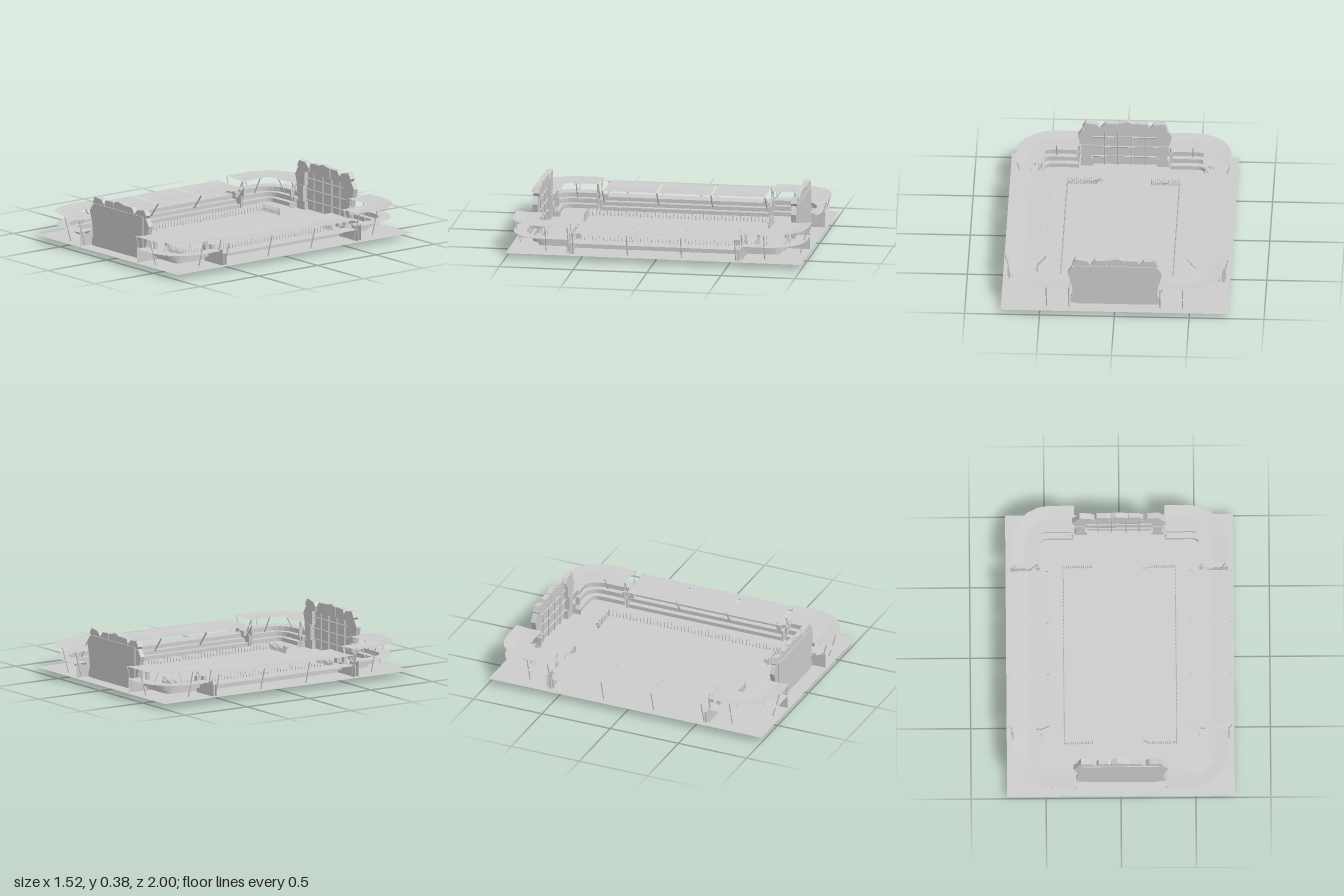
import * as THREE from 'three';

const GROUND = 0.035;
const mat = new THREE.MeshStandardMaterial({ color: 0xcccccc, flatShading: true });
const thin = new THREE.MeshStandardMaterial({ color: 0xcccccc, flatShading: true, side: THREE.DoubleSide });

function add(parent, name, geo, material = mat) {
  const m = new THREE.Mesh(geo, material);
  m.name = name;
  parent.add(m);
  return m;
}

function box(parent, name, w, h, d, x, y, z) {
  const m = add(parent, name, new THREE.BoxGeometry(w, h, d));
  m.position.set(x, y, z);
  return m;
}

// Straight round bar between two points
function bar(parent, name, a, b, r = 0.004) {
  const p = new THREE.Vector3(...a), q = new THREE.Vector3(...b);
  const m = add(parent, name, new THREE.CylinderGeometry(r, r, p.distanceTo(q), 6));
  m.position.copy(p).add(q).multiplyScalar(0.5);
  m.quaternion.setFromUnitVectors(new THREE.Vector3(0, 1, 0), q.sub(p).normalize());
  return m;
}

// Sweep a profile of [inset, height] along a plan path; path[i](inset) gives [x, z]
function sweep(path, profile) {
  const pos = [];
  const pt = (i, j) => {
    const [x, z] = path[i](profile[j][0]);
    return [x, profile[j][1], z];
  };
  for (let i = 0; i < path.length - 1; i++) {
    for (let j = 0; j < profile.length - 1; j++) {
      const a = pt(i, j), b = pt(i + 1, j), c = pt(i + 1, j + 1), d = pt(i, j + 1);
      pos.push(...a, ...b, ...c, ...a, ...c, ...d);
    }
  }
  const g = new THREE.BufferGeometry();
  g.setAttribute('position', new THREE.Float32BufferAttribute(pos, 3));
  g.computeVertexNormals();
  return g;
}

const polygon = pts => new THREE.Shape(pts.map(p => new THREE.Vector2(p[0], p[1])));

// Curved grandstand for the +x +z corner
function cornerStand() {
  const g = new THREE.Group();
  const path = [d => [0.305, 1 - d], d => [0.455, 1 - d]];
  for (let i = 0; i <= 5; i++) {
    const a = (i / 5) * Math.PI / 2;
    path.push(d => {
      const r = 0.25 - 1.14 * d;
      return [0.715 - d - r + r * Math.sin(a), 1 - d - r + r * Math.cos(a)];
    });
  }
  path.push(d => [0.715 - d, 0.74], d => [0.715 - d, 0.59]);

  add(g, 'cornerSteps', sweep(path, [[0.01, 0.13], [0.1, 0.13], [0.1, 0.1], [0.14, 0.1],
    [0.14, 0.07], [0.18, 0.07], [0.18, 0.043]]), thin);
  add(g, 'cornerCanopy', sweep(path, [[0, 0.218], [0.09, 0.211], [0.185, 0.213]]), thin);

  // End walls
  const cap = new THREE.ShapeGeometry(polygon([[0, GROUND], [0, 0.145], [-0.06, 0.115], [-0.1, 0.13],
    [-0.1, 0.1], [-0.14, 0.1], [-0.14, 0.07], [-0.18, 0.07], [-0.18, GROUND]]));
  add(g, 'endWall', cap, thin).position.set(0.725, 0, 0.592);
  const side = add(g, 'endWall', cap, thin);
  side.rotation.y = -Math.PI / 2;
  side.position.set(0.307, 0, 0.985);

  // Leaning canopy posts at each bay
  for (const i of [0, 1, 8, 9]) {
    const at = (d, y) => { const [x, z] = path[i](d); return [x, y, z]; };
    bar(g, 'outerPost', at(0.055, 0.04), at(0.005, 0.215));
    bar(g, 'innerPost', at(0.115, 0.1), at(0.175, 0.211));
  }
  bar(g, 'endPost', [0.31, GROUND, 0.83], [0.31, 0.212, 0.83]);
  bar(g, 'endPost', [0.545, GROUND, 0.595], [0.545, 0.212, 0.595]);

  // Small shields hung on the end posts
  box(g, 'shield', 0.014, 0.055, 0.03, 0.31, 0.135, 0.83);
  box(g, 'shield', 0.03, 0.05, 0.014, 0.545, 0.12, 0.595);
  box(g, 'shield', 0.03, 0.035, 0.03, 0.55, 0.125, 0.54);

  // Wall closing the gap to the long stand
  box(g, 'gapWall', 0.19, 0.075, 0.012, 0.62, 0.0725, 0.57);
  return g;
}

// Long straight grandstand on the +x side
function sideStand() {
  const g = new THREE.Group();
  const zs = [0.55, 0.183, -0.183, -0.55];
  const path = [0.56, -0.56].map(z => d => [0.75 - d, z]);
  add(g, 'sideSteps', sweep(path, [[0.03, 0.11], [0.14, 0.11], [0.14, 0.085], [0.18, 0.085],
    [0.18, 0.06], [0.22, 0.06], [0.22, GROUND]]), thin);
  const cap = new THREE.ShapeGeometry(polygon([[0.73, GROUND], [0.73, 0.11], [0.61, 0.11], [0.61, 0.085],
    [0.57, 0.085], [0.57, 0.06], [0.53, 0.06], [0.53, GROUND]]));
  for (const s of [-1, 1]) add(g, 'endWall', cap, thin).position.z = s * 0.56;

  // Three cloth panels between the posts
  for (let i = 0; i < 3; i++) {
    const bay = [zs[i] - 0.006, zs[i + 1] + 0.006].map(z => d => [0.75 - d, z]);
    add(g, 'sideCanopy', sweep(bay, [[0.003, 0.187], [0.14, 0.181], [0.285, 0.184]]), thin);
  }
  for (const z of zs) {
    bar(g, 'outerPost', [0.7, GROUND, z], [0.745, 0.186, z]);
    bar(g, 'innerPost', [0.55, 0.085, z], [0.472, 0.184, z], 0.005);
  }
  return g;
}

// Screen wall framed by rough stones, at +z
function gate() {
  const g = new THREE.Group();
  box(g, 'gatePanel', 0.51, 0.305, 0.01, 0, 0.1725, 0.893);

  const stone = (pts, depth = 0.036) => {
    const geo = new THREE.ExtrudeGeometry(polygon(pts), { depth, bevelEnabled: false });
    add(g, 'frameStone', geo).position.z = 0.892 - depth;
  };
  // Stacked stones at both sides, each [bottom, top, outer bottom, outer middle, outer top]
  const stack = [[0.025, 0.095, 0.298, 0.295, 0.285], [0.095, 0.2, 0.28, 0.288, 0.295],
    [0.2, 0.315, 0.295, 0.315, 0.285]];
  for (const s of [-1, 1]) {
    stack.forEach(([y0, y1, a, b, c], i) => {
      const inner = 0.215 + 0.012 * (i % 2);
      const pts = [[s * inner, y0], [s * a, y0], [s * b, (y0 + y1) / 2 + 0.01], [s * c, y1], [s * inner, y1]];
      stone(pts, 0.034 + 0.004 * (i % 2));
    });
  }
  // Stones along the top
  stone([[-0.285, 0.33], [-0.25, 0.295], [-0.165, 0.3], [-0.165, 0.33], [-0.195, 0.362], [-0.265, 0.37]], 0.04);
  stone([[-0.16, 0.295], [-0.065, 0.3], [-0.062, 0.362], [-0.085, 0.368], [-0.15, 0.365], [-0.163, 0.335]], 0.034);
  stone([[-0.062, 0.3], [0.055, 0.295], [0.058, 0.365], [-0.022, 0.38], [-0.06, 0.365]]);
  stone([[0.06, 0.295], [0.155, 0.3], [0.16, 0.33], [0.13, 0.366], [0.062, 0.365]], 0.033);
  stone([[0.165, 0.3], [0.25, 0.295], [0.285, 0.335], [0.262, 0.372], [0.19, 0.36], [0.163, 0.33]], 0.04);

  // Timber grid on the arena side
  for (const x of [-0.14, -0.048, 0.048, 0.135]) bar(g, 'gridUpright', [x, 0, 0.88], [x, 0.31, 0.88], 0.005);
  for (const y of [0.1, 0.175, 0.25]) bar(g, 'gridRail', [-0.24, y, 0.88], [0.24, y, 0.88], 0.005);
  return g;
}

// Stakes round the inner field
function fence() {
  const g = new THREE.Group();
  const geo = new THREE.ConeGeometry(0.005, 0.055, 5);
  const spots = [];
  for (const s of [-1, 1]) {
    for (let i = 0; i <= 50; i++) spots.push([s * 0.375, -0.625 + i * 0.025]);
    for (let i = 1; i <= 15; i++) for (const e of [-1, 1]) spots.push([s * (0.375 - i * 0.0125), e * 0.625]);
  }
  spots.forEach(([x, z], i) => add(g, 'stake', geo).position.set(x, GROUND + 0.0275 + 0.002 * (i % 3), z));
  // Rails and small leaning markers beside the openings
  for (const e of [-1, 1]) {
    for (const s of [-1, 1]) bar(g, 'endRail', [s * 0.375, 0.055, e * 0.625], [s * 0.187, 0.055, e * 0.625], 0.003);
    bar(g, 'markerPost', [0.185, GROUND + 0.003, e * 0.62], [0.165, 0.09, e * 0.615], 0.005);
    bar(g, 'markerArm', [0.135, 0.08, e * 0.61], [0.2, 0.072, e * 0.62], 0.005);
    box(g, 'markerHead', 0.025, 0.022, 0.022, 0.165, 0.08, e * 0.615);
    bar(g, 'markerPost', [-0.187, GROUND + 0.003, e * 0.625], [-0.187, 0.085, e * 0.618]);
  }
  return g;
}

export function createModel() {
  const model = new THREE.Group();
  model.name = 'arena';
  const ground = add(model, 'ground', new THREE.PlaneGeometry(1.52, 2), thin);
  ground.rotation.x = -Math.PI / 2;
  ground.position.y = GROUND;

  const place = (name, part, sx, sz) => {
    part.name = name;
    part.scale.set(sx, 1, sz);
    model.add(part);
  };
  for (const s of [-1, 1]) {
    place('sideStand', sideStand(), s, 1);
    place('gate', gate(), 1, s);
    for (const e of [-1, 1]) place('cornerStand', cornerStand(), s, e);
  }
  place('fence', fence(), 1, 1);
  return model;
}
